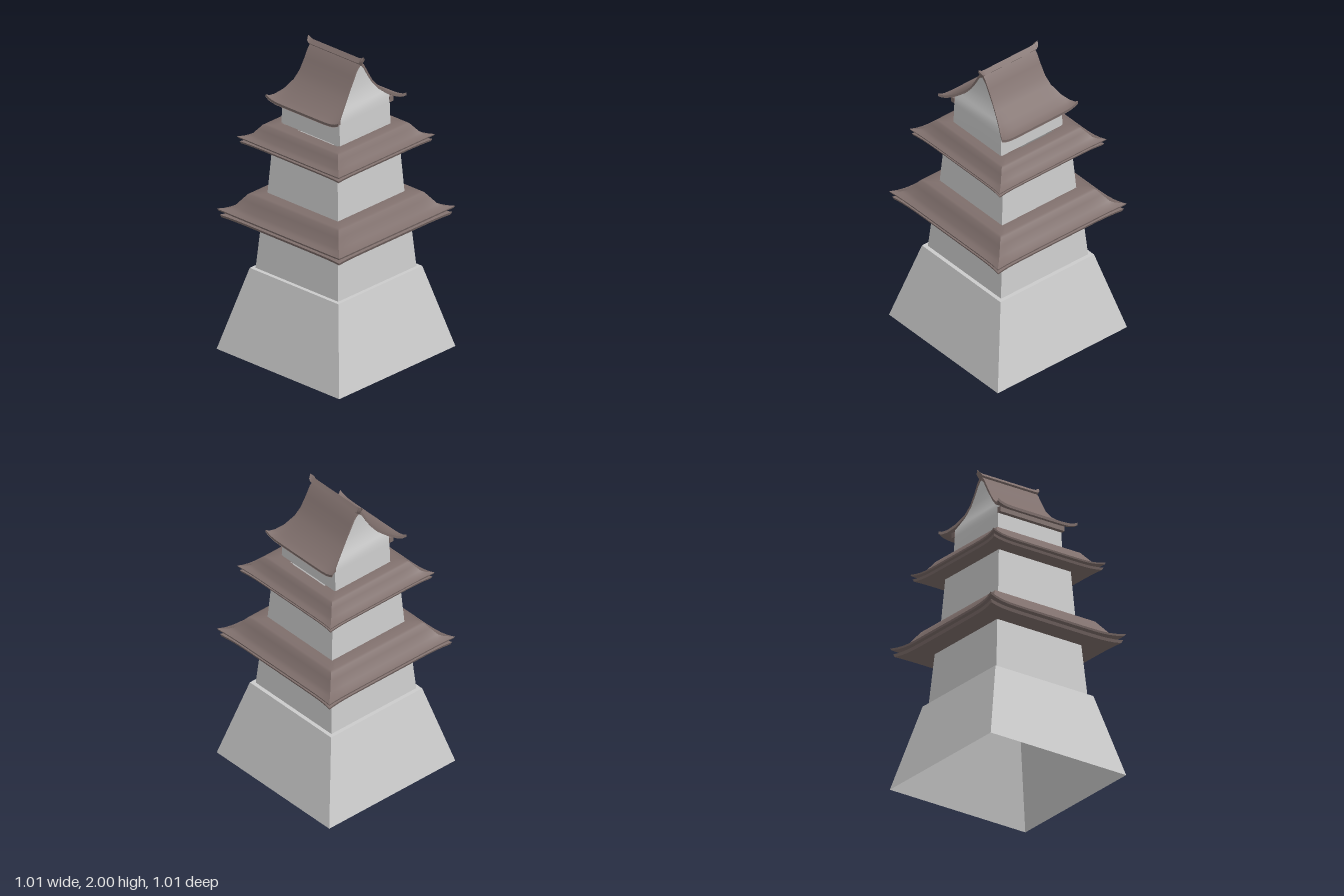
import * as THREE from 'three';
import { toCreasedNormals } from 'three/addons/utils/BufferGeometryUtils.js';

const wallMat = new THREE.MeshStandardMaterial({ color: 0xcccccc, side: THREE.DoubleSide });
const roofMat = new THREE.MeshStandardMaterial({ color: 0x7f6f6c, side: THREE.DoubleSide });

// Skin a list of closed rings (all with the same point count)
function loft(rings, crease = 0.6) {
  const n = rings[0].length;
  const index = [];
  for (let i = 0; i < rings.length - 1; i++) {
    for (let j = 0; j < n; j++) {
      const k = (j + 1) % n;
      const a = i * n + j, b = i * n + k, c = b + n, d = a + n;
      index.push(a, b, c, a, c, d);
    }
  }
  const geo = new THREE.BufferGeometry();
  geo.setAttribute('position', new THREE.Float32BufferAttribute(rings.flat(2), 3));
  geo.setIndex(index);
  return toCreasedNormals(geo, crease);
}

// Rectangular ring; corners can be lifted and flared outwards
function rectRing(hx, hz, y, lift = 0, flare = 0, n = 1) {
  const ring = [];
  for (let side = 0; side < 4; side++) {
    for (let i = 0; i < n; i++) {
      const t = -1 + (2 * i) / n;
      const k = Math.abs(t) ** 8;
      const swap = side % 2 === 1;
      const sign = side < 2 ? 1 : -1;
      const along = sign * t, f = flare * k;
      const x = swap ? sign * (hx + f) : along * (hx + f);
      const z = swap ? -along * (hz + f) : sign * (hz + f);
      ring.push([x, y + lift * k, z]);
    }
  }
  return ring;
}

function part(name, geo, mat) {
  const mesh = new THREE.Mesh(geo, mat);
  mesh.name = name;
  return mesh;
}

const walls = (name, rows) => part(name, loft(rows.map(r => rectRing(...r)), 0.3), wallMat);

// Skirt roof with two stacked eaves: half width, height, corner lift, corner flare
const SKIRT = [
  [0.31, 0.012, 0, 0],
  [0.462, 0.002, 0.008, 0.022],
  [0.47, 0.02, 0.008, 0.022],
  [0.435, 0.03, 0.004, 0.01],
  [0.44, 0.035, 0.006, 0.012],
  [0.474, 0.038, 0.018, 0.024],
  [0.478, 0.05, 0.018, 0.026],
  [0.447, 0.058, 0.014, 0.006],
  [0.427, 0.075, 0.008, 0.004],
  [0.395, 0.125, 0.004, 0.002],
  [0.373, 0.162, 0, 0],
  [0.36, 0.17, 0, 0],
  [0.28, 0.17, 0, 0],
];
function skirtRoof(name, y, sx, sy) {
  const rings = SKIRT.map(([h, dy, lift, flare]) =>
    rectRing(h * sx, h * sx, y + dy * sy, lift * sy, flare * sx, 24));
  return part(name, loft(rings), roofMat);
}

// Curved gable roof: x, y, half length in z, corner lift
const GABLE = [
  [0, 1.965, 0.203, 0],
  [0.03, 1.935, 0.203, 0],
  [0.06, 1.88, 0.203, 0],
  [0.1, 1.81, 0.206, 0],
  [0.14, 1.76, 0.216, 0],
  [0.2, 1.708, 0.241, 0.003],
  [0.25, 1.676, 0.268, 0.008],
  [0.28, 1.662, 0.285, 0.017],
  [0.298, 1.66, 0.297, 0.026],
];
function gableRoof() {
  const n = 24;
  const section = ([x, y, hz, lift], thick) => {
    const top = [], bottom = [];
    for (let i = 0; i <= n; i++) {
      const t = -1 + (2 * i) / n;
      const py = y + lift * Math.abs(t) ** 8;
      top.push([x, py, t * hz]);
      bottom.unshift([x, py - thick, t * hz]);
    }
    return [...top, ...bottom];
  };
  const thickness = i => (i < 3 ? 0.025 : 0.018);
  const half = GABLE.map((p, i) => section(p, thickness(i)));
  // close the eave edge on its lower line
  const [x, y, hz, lift] = GABLE[GABLE.length - 1];
  half.push(section([x - 0.002, y - 0.017, hz, lift], 0.001));
  const mirrored = half.slice(1).reverse().map(r => r.map(([px, py, pz]) => [-px, py, pz]));
  return part('gableRoof', loft([...mirrored, ...half]), roofMat);
}

// Ridge beam with raised pointed ends: z, top, bottom, half width
function ridge() {
  const ends = [[0.185, 1.985, 1.935, 0.022], [0.207, 1.988, 1.935, 0.022], [0.219, 1.996, 1.955, 0.02], [0.229, 2, 1.985, 0.004]];
  const all = [...ends.map(([z, ...r]) => [-z, ...r]).reverse(), ...ends];
  const rings = all.map(([z, t, b, w]) => {
    const m = t - (t - b) * 0.5;
    return [[0, t, z], [-w, m, z], [0, b, z], [w, m, z]];
  });
  return part('ridge', loft(rings, 0.4), roofMat);
}

export function createModel() {
  const model = new THREE.Group();
  model.name = 'castleTower';

  // Sloping base with a narrow ledge, open underneath
  model.add(walls('stoneBase', [[0.505, 0.505, 0], [0.365, 0.365, 0.535], [0.335, 0.335, 0.535]]));

  // Storeys
  model.add(walls('lowerStorey', [[0.34, 0.34, 0.535], [0.313, 0.313, 0.88]]));
  model.add(walls('middleStorey', [[0.29, 0.29, 1.03], [0.268, 0.268, 1.37]]));
  model.add(walls('upperStorey', [
    [0.22, 0.241, 1.488], [0.218, 0.236, 1.63], [0.217, 0.233, 1.68], [0.18, 0.222, 1.71],
    [0.138, 0.211, 1.748], [0.098, 0.202, 1.8], [0.055, 0.199, 1.872], [0.026, 0.199, 1.922], [0.002, 0.199, 1.95],
  ]));

  // Roofs
  model.add(skirtRoof('lowerRoof', 0.863, 1, 1));
  model.add(skirtRoof('middleRoof', 1.355, 0.83, 0.8));
  model.add(gableRoof(), ridge());

  // Beams tucked under the top eaves
  for (const s of [-1, 1]) {
    const beam = part('eaveBeam', new THREE.BoxGeometry(0.03, 0.035, 0.48), roofMat);
    beam.position.set(s * 0.23, 1.65, 0);
    model.add(beam);
  }
  return model;
}
